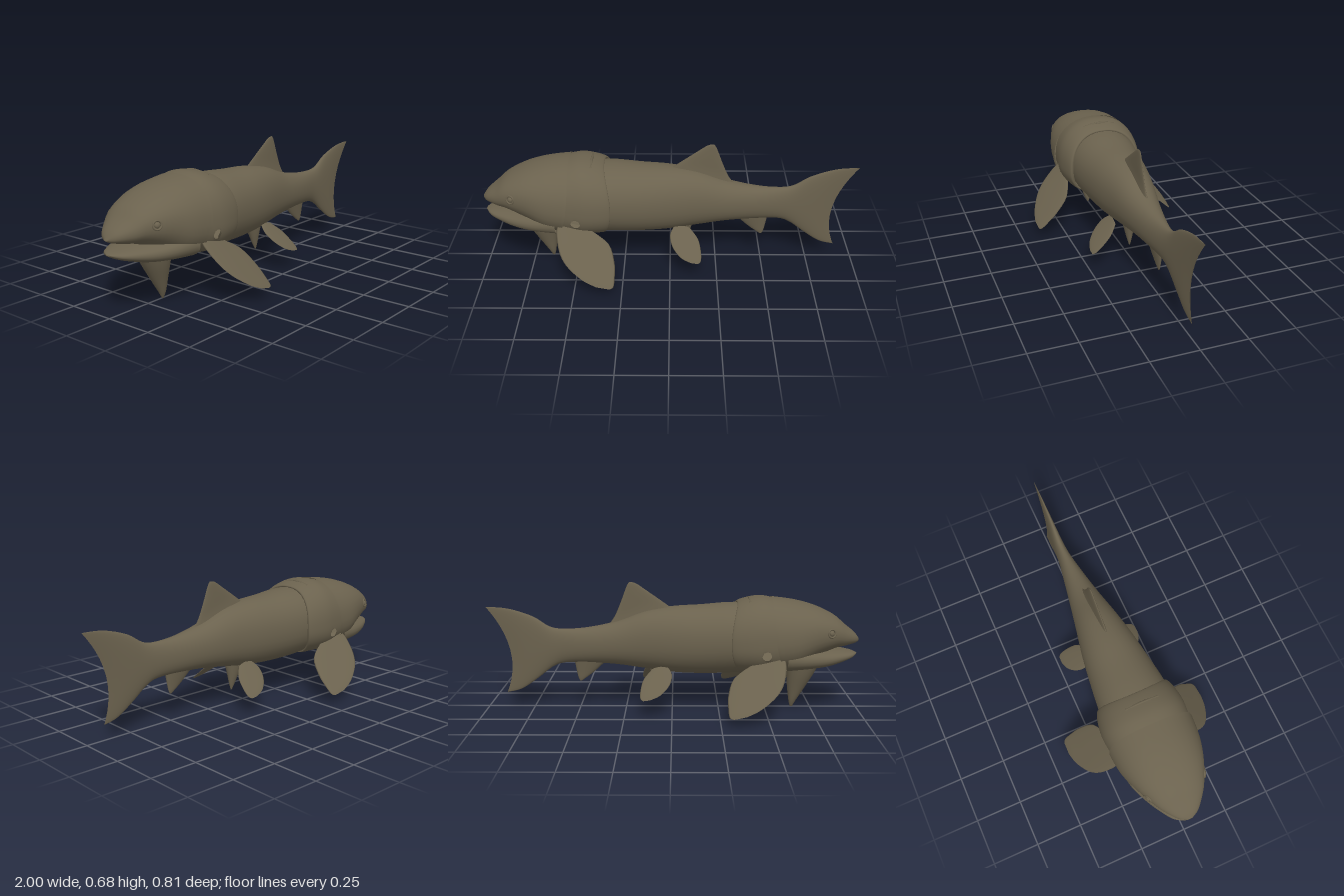
import * as THREE from 'three';

const skin = new THREE.MeshStandardMaterial({ color: 0x6b624e, side: THREE.DoubleSide });
skin.name = 'olive brown skin';

// Smooth interpolation of one column of section values
function cubic(a, b, c, d, t) {
  const m0 = (c - a) / 2, m1 = (d - b) / 2, t2 = t * t, t3 = t2 * t;
  return (2 * t3 - 3 * t2 + 1) * b + (t3 - 2 * t2 + t) * m0 + (3 * t2 - 2 * t3) * c + (t3 - t2) * m1;
}

// Skin over rounded sections. Row: [lower x, lower y, upper x, upper y, half width, bow, widest level]
function loft(rows, { sub = 4, around = 32, power = 1, hole = null } = {}) {
  const full = rows.map(r => [r[0], r[1], r[2], r[3], r[4], r[5] ?? 0, r[6] ?? 0.5]);
  const at = i => full[Math.max(0, Math.min(full.length - 1, i))];
  const stations = (full.length - 1) * sub;
  const pos = [], index = [], onHole = [];
  for (let i = 0; i <= stations; i++) {
    const k = Math.min(Math.floor(i / sub), full.length - 2), t = i / sub - k;
    const [xb, yb, xt, yt, w, bow, mid] =
      full[0].map((_, c) => cubic(at(k - 1)[c], at(k)[c], at(k + 1)[c], at(k + 2)[c], t));
    for (let j = 0; j < around; j++) {
      const a = j / around * Math.PI * 2, c = Math.cos(a), s = Math.sin(a);
      const z = Math.max(w, 0.001) * Math.sign(c) * Math.abs(c) ** power;
      const v = Math.sign(s) * Math.abs(s) ** power;
      const f = v > 0 ? mid + (1 - mid) * v : mid * (1 + v);
      let x = xb + (xt - xb) * f + bow * (1 - v * v), y = yb + (yt - yb) * f;
      let inside = false;
      if (hole) { // push points inside the opening out to its rim
        const dx = x - hole.x, dy = y - hole.y, d = Math.hypot(dx, dy) || 1e-6;
        if (d < hole.r) {
          inside = true;
          x = hole.x + dx / d * hole.r;
          y = hole.y + dy / d * hole.r;
        }
      }
      onHole.push(inside);
      pos.push(x, y, z);
    }
  }
  const tri = (a, b, c) => { if (!(onHole[a] && onHole[b] && onHole[c])) index.push(a, b, c); };
  for (let i = 0; i < stations; i++) for (let j = 0; j < around; j++) {
    const n = (j + 1) % around, a = i * around + j, b = a + around;
    const c = i * around + n, d = c + around;
    tri(a, b, c);
    tri(b, d, c);
  }
  const g = new THREE.BufferGeometry();
  g.setAttribute('position', new THREE.Float32BufferAttribute(pos, 3));
  g.setIndex(index);
  g.computeVertexNormals();
  return g;
}

// Lay an upright fin outward and slope it down along a plane
function layFin(g, x0, z0, y0, slopeX, slopeZ) {
  const p = g.attributes.position;
  for (let i = 0; i < p.count; i++) {
    const x = p.getX(i), out = p.getY(i), thick = p.getZ(i);
    p.setXYZ(i, x, y0 + slopeX * (x - x0) + slopeZ * (out - z0) + thick, out);
  }
  g.computeVertexNormals();
  return g;
}

export function createModel() {
  const model = new THREE.Group();
  const add = (name, geometry, parent = model) => {
    const m = new THREE.Mesh(geometry, skin);
    m.name = name;
    parent.add(m);
    return m;
  };

  // Trunk running into the forked tail
  add('bodyAndTail', loft([
    [-0.42, 0.21, -0.42, 0.575, 0.19], [-0.3, 0.2, -0.3, 0.577, 0.188],
    [-0.15, 0.196, -0.15, 0.565, 0.17], [0, 0.202, 0, 0.556, 0.148],
    [0.15, 0.222, 0.15, 0.53, 0.118], [0.3, 0.242, 0.3, 0.475, 0.088],
    [0.45, 0.25, 0.45, 0.443, 0.06], [0.58, 0.248, 0.58, 0.434, 0.037],
    [0.65, 0.222, 0.66, 0.447, 0.029, -0.005], [0.73, 0.16, 0.75, 0.502, 0.022, -0.015],
    [0.82, 0.1, 0.88, 0.543, 0.013, -0.045], [0.9, 0.08, 1, 0.552, 0.002, -0.075],
  ], { power: 0.92 }));

  // Armour plates: hollow, overlapping at their edges
  add('thoraxPlate', loft([
    [-0.62, 0.225, -0.56, 0.596, 0.218, 0.03, 0.44], [-0.5, 0.207, -0.48, 0.613, 0.23, 0.04, 0.42],
    [-0.42, 0.205, -0.41, 0.606, 0.222, 0.045, 0.42], [-0.365, 0.205, -0.35, 0.587, 0.204, 0.045, 0.43],
    [-0.365, 0.212, -0.35, 0.572, 0.185, 0.045, 0.43],
  ], { sub: 10, around: 80, power: 0.86, hole: { x: -0.49, y: 0.332, r: 0.025 } }));
  add('headShield', loft([
    [-1, 0.374, -1, 0.386, 0.012], [-0.978, 0.362, -0.975, 0.42, 0.055],
    [-0.92, 0.348, -0.92, 0.465, 0.105], [-0.86, 0.335, -0.86, 0.515, 0.143],
    [-0.76, 0.29, -0.76, 0.562, 0.188], [-0.67, 0.235, -0.65, 0.592, 0.222, 0.01, 0.46],
    [-0.6, 0.216, -0.53, 0.608, 0.234, 0.03, 0.44],
  ], { power: 0.9 }));
  add('lowerJaw', loft([
    [-0.99, 0.302, -0.99, 0.308, 0.015], [-0.96, 0.283, -0.96, 0.318, 0.065],
    [-0.9, 0.262, -0.9, 0.328, 0.108], [-0.82, 0.242, -0.82, 0.34, 0.152],
    [-0.72, 0.231, -0.72, 0.36, 0.192], [-0.6, 0.22, -0.6, 0.38, 0.21],
  ], { power: 0.85 }));

  // Raised seam across the nape
  add('napeRidge', new THREE.TubeGeometry(new THREE.CatmullRomCurve3([
    new THREE.Vector3(-0.41, 0.59, 0.09), new THREE.Vector3(-0.41, 0.605, 0),
    new THREE.Vector3(-0.41, 0.59, -0.09),
  ]), 12, 0.007, 6));

  // Fins on the centre line
  add('dorsalFin', loft([
    [0.36, 0.43, 0, 0.545, 0.016], [0.31, 0.5, 0.06, 0.588, 0.01], [0.275, 0.58, 0.13, 0.637, 0.008],
    [0.245, 0.66, 0.19, 0.678, 0.005], [0.23, 0.686, 0.215, 0.686, 0.001],
  ], { around: 20 }));
  add('throatFin', loft([
    [-0.8, 0.26, -0.605, 0.26, 0.085], [-0.765, 0.19, -0.617, 0.19, 0.068],
    [-0.718, 0.11, -0.625, 0.11, 0.042], [-0.675, 0.04, -0.634, 0.04, 0.02],
    [-0.655, 0.003, -0.643, 0.003, 0.004],
  ], { around: 20 }));
  add('bellyFin', loft([
    [-0.01, 0.24, 0.13, 0.24, 0.035], [0.03, 0.17, 0.11, 0.17, 0.025],
    [0.06, 0.11, 0.097, 0.11, 0.012], [0.08, 0.075, 0.087, 0.075, 0.003],
  ], { around: 20 }));
  add('analFin', loft([
    [0.35, 0.265, 0.53, 0.265, 0.025], [0.42, 0.2, 0.518, 0.2, 0.013],
    [0.465, 0.165, 0.51, 0.165, 0.007], [0.49, 0.147, 0.502, 0.147, 0.002],
  ], { around: 20 }));

  // Paired parts, mirrored across the centre line
  const pectoral = layFin(loft([
    [-0.58, 0.19, -0.42, 0.19, 0.014], [-0.59, 0.23, -0.32, 0.23, 0.013],
    [-0.572, 0.3, -0.287, 0.3, 0.011], [-0.53, 0.35, -0.285, 0.35, 0.008],
    [-0.45, 0.39, -0.29, 0.39, 0.005], [-0.38, 0.405, -0.31, 0.403, 0.001],
  ], { around: 20 }), -0.59, 0.22, 0.295, -0.25, -0.95);
  const pelvic = layFin(loft([
    [0.02, 0.09, 0.11, 0.09, 0.012], [0, 0.13, 0.15, 0.13, 0.01],
    [0.015, 0.18, 0.165, 0.18, 0.008], [0.06, 0.22, 0.165, 0.22, 0.005],
    [0.11, 0.235, 0.15, 0.235, 0.001],
  ], { around: 20 }), 0, 0.1, 0.235, -0.15, -0.85);

  for (const [side, sign] of [['left', 1], ['right', -1]]) {
    const half = new THREE.Group();
    half.name = side === 'left' ? 'nearSide' : 'farSide';
    half.scale.z = sign;
    add('pectoralFin', pectoral, half);
    add('pelvicFin', pelvic, half);
    const eye = new THREE.Group();
    eye.name = 'eye';
    add('eyeRing', new THREE.TorusGeometry(0.021, 0.005, 8, 24), eye);
    add('eyeball', new THREE.SphereGeometry(0.014, 16, 10), eye).scale.z = 0.6;
    eye.position.set(-0.83, 0.44, 0.157);
    eye.lookAt(-0.83 - 0.4, 0.44 + 0.15, 0.157 + 0.9);
    half.add(eye);
    model.add(half);
  }
  return model;
}
